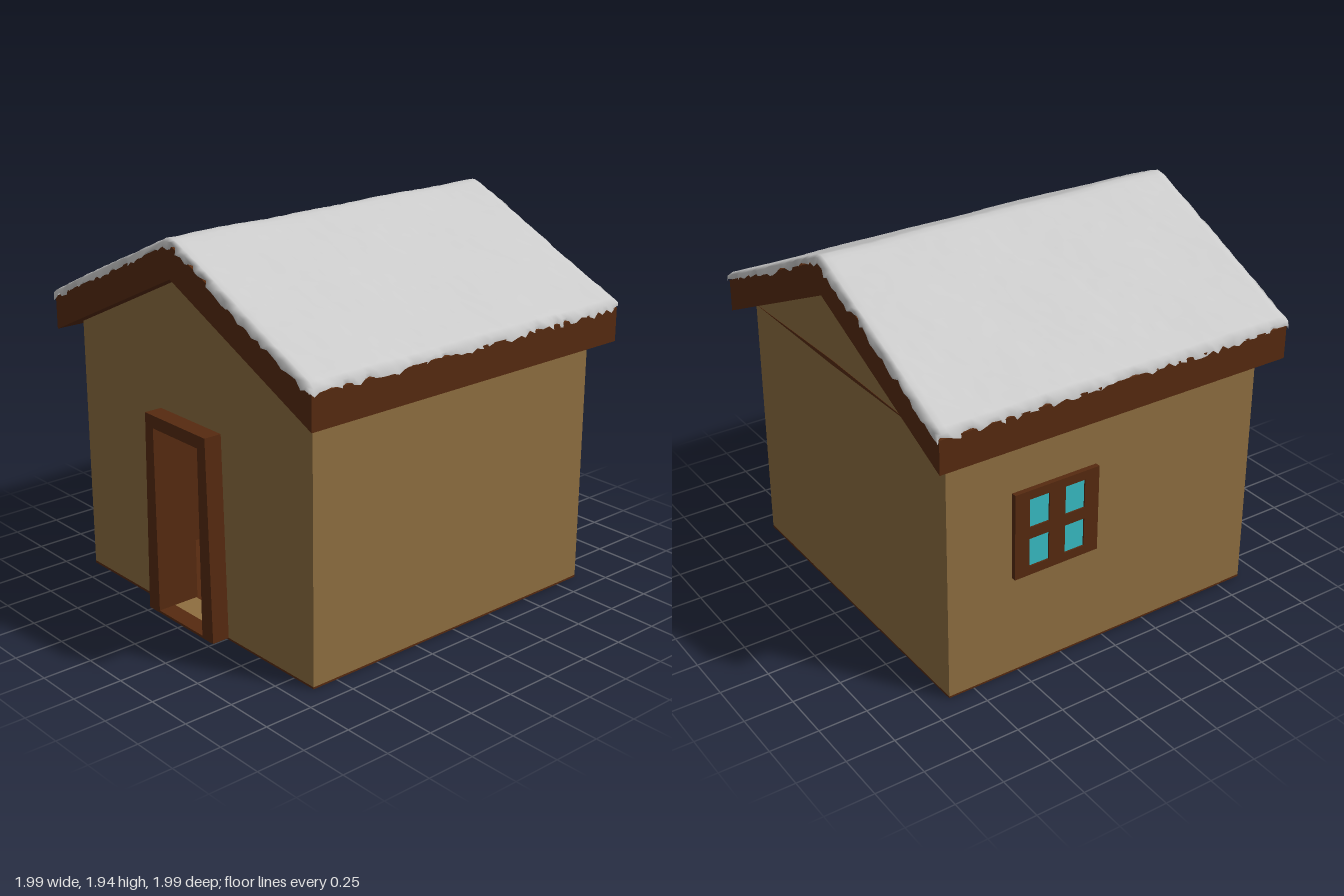
import * as THREE from 'three';

const mat = (color, side = THREE.FrontSide) => new THREE.MeshStandardMaterial({ color, side });

// Closed outline from [x, y] pairs
const outline = (pts) => pts.map(([x, y]) => new THREE.Vector2(x, y));

// Small seeded noise generator
function seeded(seed) {
  let s = seed;
  return () => ((s = (s * 16807) % 2147483647) / 2147483647);
}

export function createModel() {
  const model = new THREE.Group();
  const tan = mat(0x8e6e40), brown = mat(0x562a10), glass = mat(0x38bcc4);

  const add = (name, geometry, material, x = 0, y = 0, z = 0, parent = model) => {
    const mesh = new THREE.Mesh(geometry, material);
    mesh.name = name;
    mesh.position.set(x, y, z);
    parent.add(mesh);
    return mesh;
  };
  const box = (name, w, h, d, material, x, y, z, parent) =>
    add(name, new THREE.BoxGeometry(w, h, d), material, x, y, z, parent);
  const extrude = (name, shape, depth, material, z) =>
    add(name, new THREE.ExtrudeGeometry(shape, { depth, bevelEnabled: false }), material, 0, 0, z);

  // Walls: two gabled ends, the front one with a doorway, and two plain sides
  const W = 0.887, T = 0.13;
  const gable = () => new THREE.Shape(outline([[-W, 0.01], [W, 0.01], [W, 1.34], [0, 1.75], [-W, 1.34]]));
  const front = gable();
  front.holes.push(new THREE.Path(outline([[-0.2, 0.02], [-0.2, 1], [0.2, 1], [0.2, 0.02]])));
  extrude('frontWall', front, T, tan, W - T);
  extrude('backWall', gable(), T, tan, -W);
  for (const s of [-1, 1]) {
    box(s > 0 ? 'leftWall' : 'rightWall', T, 1.33, 2 * W - 2 * T, tan, s * (W - T / 2), 0.675, 0);
    box('sideLining', 0.01, 1.32, 1.5, brown, s * 0.752, 0.67, 0);
  }
  box('backLining', 1.5, 1.32, 0.01, brown, 0, 0.67, -0.752);
  box('ceiling', 1.5, 0.02, 1.5, brown, 0, 1.33, 0);
  box('floor', 2 * W, 0.012, 2 * W, brown, 0, 0.006, 0);

  // Thin seam under the rear gable
  const seam = new THREE.Shape(outline([[-0.73, 1.335], [0.1, 1.325], [0.885, 1.335], [0.1, 1.35]]));
  extrude('gableSeam', seam, 0.003, brown, -W - 0.002);

  // Tapered door frame running through the wall
  const frame = new THREE.Shape(outline([
    [-0.26, 0.01], [-0.175, 0.01], [-0.175, 0.98], [0.175, 0.98],
    [0.175, 0.01], [0.26, 0.01], [0.235, 1.045], [-0.235, 1.045],
  ]));
  extrude('doorFrame', frame, 0.23, brown, 0.75);
  box('doorSill', 0.5, 0.012, 0.23, brown, 0, 0.014, 0.865);

  // Four-pane window on the right wall
  const win = new THREE.Group();
  win.name = 'window';
  win.position.set(-0.912, 0.777, -0.31);
  model.add(win);
  const lattice = new THREE.Shape(outline([[-0.235, -0.227], [0.235, -0.227], [0.235, 0.227], [-0.235, 0.227]]));
  for (const sx of [-1, 1]) for (const sy of [-1, 1]) {
    const cx = sx * 0.1, cy = sy * 0.105, w = 0.055, h = 0.075;
    lattice.holes.push(new THREE.Path(outline([
      [cx - w, cy - h], [cx - w, cy + h], [cx + w, cy + h], [cx + w, cy - h],
    ])));
    box('windowPane', 0.01, 2 * h, 2 * w, glass, 0, cy, cx, win);
  }
  const latticeGeo = new THREE.ExtrudeGeometry(lattice, { depth: 0.026, bevelEnabled: false });
  latticeGeo.translate(0, 0, -0.013).rotateY(-Math.PI / 2);
  add('windowFrame', latticeGeo, brown, 0, 0, 0, win);

  // Chevron roof with vertical eave faces
  const roof = new THREE.Shape(outline([
    [-0.987, 1.285], [0, 1.745], [0.987, 1.285], [0.987, 1.455], [0, 1.91], [-0.987, 1.455],
  ]));
  extrude('roof', roof, 1.954, brown, -0.977);

  // Snow blanket: a sheet draped on the roof, with a ragged, turned-down rim
  const N = 64, rand = seeded(77);
  const snow = new THREE.PlaneGeometry(2, 2, N, N).rotateX(-Math.PI / 2);
  const p = snow.attributes.position;
  const top = (x) => 1.948 - 0.462 * Math.sqrt(x * x + 0.0004);
  for (let j = 0; j <= N; j++) for (let i = 0; i <= N; i++) {
    const k = j * (N + 1) + i;
    const ring = Math.min(i, j, N - i, N - j);
    // Outermost rings sit on the rim, the rest spread evenly between
    const along = (n) => {
      const t = THREE.MathUtils.clamp((n - 2) / (N - 4), 0, 1) * 2 - 1;
      const edge = Math.min(n, N - n);
      return t * 0.965 + Math.sign(t) * (edge === 0 ? 0.024 : edge === 1 ? 0.021 : 0);
    };
    let x = along(i), z = along(j);
    let y = top(x) + 0.004 * (rand() - 0.5) + 0.003 * Math.sin(7 * x + 3 * z) * Math.cos(9 * z);
    if (ring === 1) y -= 0.008 + 0.008 * rand();
    if (ring === 0) {
      const bite = rand() > 0.86 ? 0.03 : 0;
      y -= 0.028 + 0.03 * rand();
      if (j === 0 || j === N) z -= Math.sign(z) * (bite + 0.012 * (rand() - 0.5));
      if (i === 0 || i === N) x -= Math.sign(x) * (bite * 0.4 + 0.01 * (rand() - 0.5));
    }
    p.setXYZ(k, x, y, z);
  }
  snow.computeVertexNormals();
  add('snow', snow, mat(0xcccccc, THREE.DoubleSide));

  return model;
}
